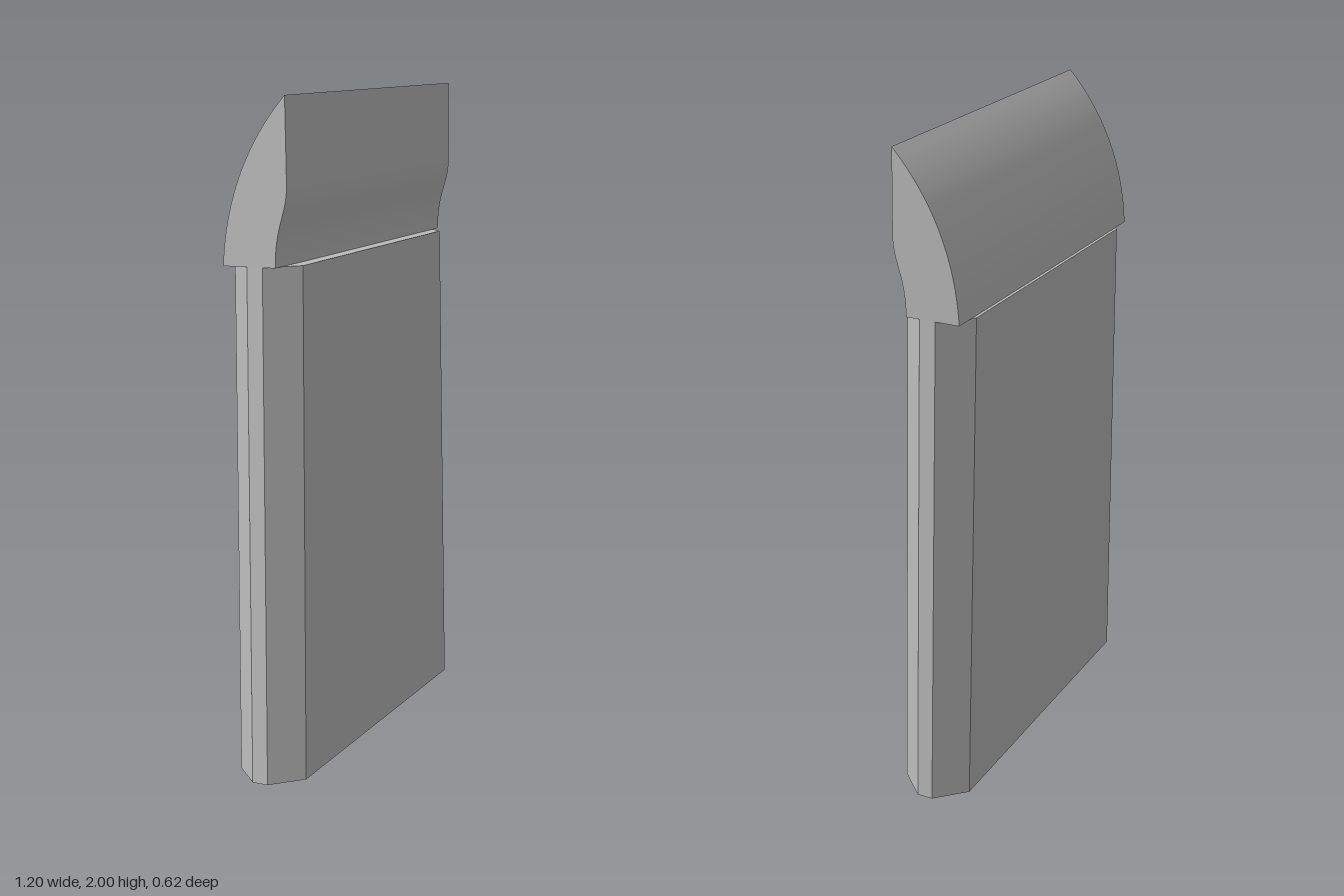
import * as THREE from 'three';
import { toCreasedNormals } from 'three/addons/utils/BufferGeometryUtils.js';

const stone = new THREE.MeshStandardMaterial({ color: 0xbcbcbc });
stone.name = 'pale grey stone';

const BODY_HEIGHT = 1.48;

// Slab with bevelled vertical edges, slightly narrower at the top
function makeBody() {
  const front = 0.515, side = 0.597, depth = 0.106, flat = 0.024, taper = 0.035;
  const outline = [
    [front, -depth], [side, -flat], [side, flat], [front, depth],
    [-front, depth], [-side, flat], [-side, -flat], [-front, -depth],
  ].map(([x, y]) => new THREE.Vector2(x, y));
  const geometry = new THREE.ExtrudeGeometry(new THREE.Shape(outline), {
    depth: BODY_HEIGHT, bevelEnabled: false,
  });
  const p = geometry.attributes.position;
  for (let i = 0; i < p.count; i++) {
    p.setX(i, p.getX(i) - Math.sign(p.getX(i)) * taper * p.getZ(i) / BODY_HEIGHT);
  }
  geometry.rotateX(-Math.PI / 2);
  geometry.computeVertexNormals();
  const mesh = new THREE.Mesh(geometry, stone);
  mesh.name = 'slabBody';
  return mesh;
}

// Cap: curved back, straight front that sweeps in to a neck
function makeCap() {
  const halfWidth = 0.563;
  const profile = new THREE.Shape();
  profile.moveTo(0.097, BODY_HEIGHT);
  profile.lineTo(-0.064, BODY_HEIGHT);
  profile.bezierCurveTo(-0.066, 1.6, -0.1, 1.62, -0.103, 1.7);
  profile.lineTo(-0.102, 1.943);
  profile.quadraticCurveTo(0.08, 1.75, 0.097, BODY_HEIGHT);
  const extruded = new THREE.ExtrudeGeometry(profile, {
    depth: halfWidth * 2, bevelEnabled: false, curveSegments: 16,
  });
  extruded.translate(0, 0, -halfWidth);
  extruded.rotateY(Math.PI / 2);
  const mesh = new THREE.Mesh(toCreasedNormals(extruded, Math.PI / 6), stone);
  mesh.name = 'curvedCap';
  return mesh;
}

export function createModel() {
  // The whole slab is turned and leans slightly
  const up = new THREE.Vector3(0.032, 0.9985, -0.049).normalize();
  const depth = new THREE.Vector3(0.943, -0.045, -0.33).cross(up).normalize();
  const across = new THREE.Vector3().crossVectors(up, depth);

  const slab = new THREE.Group();
  slab.name = 'leaningSlab';
  slab.add(makeBody(), makeCap());
  slab.quaternion.setFromRotationMatrix(new THREE.Matrix4().makeBasis(across, up, depth));
  slab.position.set(-0.029, 0.033, 0.04);

  const model = new THREE.Group();
  model.name = 'slabModel';
  model.add(slab);
  return model;
}
